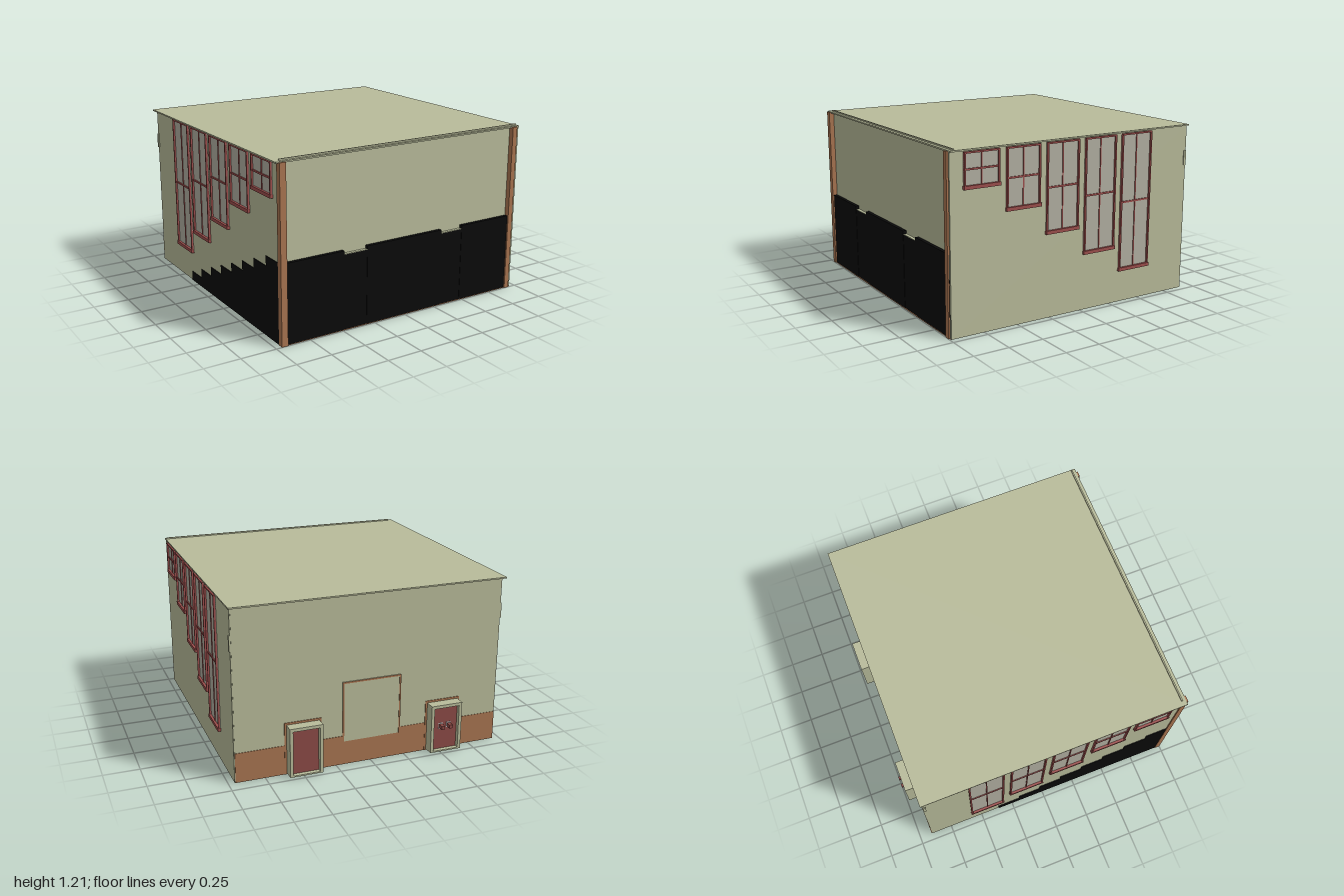
import * as THREE from 'three';

const mat = (color) => new THREE.MeshStandardMaterial({ color });
const OLIVE = mat(0xb8bb9a), BLACK = mat(0x0a0a0a), WOOD = mat(0xa87450), DESK = mat(0xb08a58);
const RED = mat(0x9c4e4c), DOOR = mat(0x8c4a46), GLASS = mat(0xb2b0a2), METAL = mat(0xcccccc);

// Axis-aligned box given by its limits
function box(parent, name, material, x0, x1, y0, y1, z0, z1) {
  const mesh = new THREE.Mesh(new THREE.BoxGeometry(x1 - x0, y1 - y0, z1 - z0), material);
  mesh.position.set((x0 + x1) / 2, (y0 + y1) / 2, (z0 + z1) / 2);
  mesh.name = name;
  parent.add(mesh);
  return mesh;
}

function group(parent, name) {
  const g = new THREE.Group();
  g.name = name;
  parent.add(g);
  return g;
}

// Paned window on a side wall; xi = wall face, s = outward direction
function sideWindow(parent, s, xi, z0, z1, y0) {
  const g = group(parent, s > 0 ? 'leftWindow' : 'rightWindow');
  const y1 = 1.185, f = 0.011, zm = (z0 + z1) / 2, ym = (y0 + y1) / 2 + 0.005;
  const part = (name, m, d, ya, yb, za, zb) =>
    box(g, name, m, Math.min(xi, xi + s * d), Math.max(xi, xi + s * d), ya, yb, za, zb);
  part('windowGlass', GLASS, 0.003, y0, y1, z0, z1);
  part('windowJamb', RED, 0.016, y0, y1, z0, z0 + f);
  part('windowJamb', RED, 0.016, y0, y1, z1 - f, z1);
  part('windowHead', RED, 0.016, y1 - f, y1, z0, z1);
  part('windowSill', RED, 0.02, y0 - 0.004, y0 + 0.02, z0 - 0.004, z1 + 0.004);
  part('windowMullion', RED, 0.008, y0, y1, zm - 0.004, zm + 0.004);
  part('windowTransom', RED, 0.01, ym - 0.006, ym + 0.006, z0, z1);
}

// Door set in a deep open case behind the back wall
function backDoor(parent, x0, x1, withHandle) {
  const g = group(parent, 'backDoor');
  const za = -0.985, zb = -0.9, t = 0.022, y0 = 0.008, y1 = 0.357;
  box(g, 'doorCaseSide', OLIVE, x0, x0 + t, y0, y1, za, zb);
  box(g, 'doorCaseSide', OLIVE, x1 - t, x1, y0, y1, za, zb);
  box(g, 'doorCaseTop', OLIVE, x0 + t, x1 - t, y1 - t, y1, za, zb);
  box(g, 'doorCaseBottom', OLIVE, x0 + t, x1 - t, y0, y0 + 0.01, za, zb);
  box(g, 'doorPanel', DOOR, x0 + t, x1 - t, y0 + 0.01, y1 - t, -0.955, -0.945);
  box(g, 'doorTrim', WOOD, x0 - 0.014, x1 + 0.014, 0, y1 + 0.014, -0.912, -0.9);
  if (withHandle) {
    const xm = (x0 + x1) / 2;
    for (const x of [xm - 0.03, xm + 0.03]) {
      box(g, 'doorHandle', DOOR, x - 0.012, x + 0.012, 0.18, 0.205, -1.0, -0.955);
      box(g, 'doorHandlePlate', METAL, x - 0.016, x + 0.016, 0.172, 0.213, -0.958, -0.954);
    }
  }
}

// Long desk with a front panel and legs
function desk(parent, x0, x1, y, z) {
  const g = group(parent, 'bench');
  box(g, 'benchTop', DESK, x0, x1, y + 0.085, y + 0.095, z - 0.03, z + 0.04);
  box(g, 'benchPanel', WOOD, x0, x1, y + 0.03, y + 0.085, z - 0.03, z - 0.022);
  box(g, 'benchSeat', DESK, x0, x1, y + 0.045, y + 0.053, z + 0.06, z + 0.09);
  const n = 3;
  for (let i = 0; i <= n; i++) {
    const x = x0 + 0.006 + (x1 - x0 - 0.012) * i / n;
    box(g, 'benchLeg', WOOD, x - 0.006, x + 0.006, y, y + 0.085, z - 0.022, z + 0.03);
    box(g, 'seatLeg', WOOD, x - 0.006, x + 0.006, y, y + 0.045, z + 0.062, z + 0.088);
  }
}

export function createModel() {
  const root = new THREE.Group();
  root.name = 'lectureHall';

  // Shell
  const shell = group(root, 'shell');
  box(shell, 'leftWall', OLIVE, 0.945, 0.957, 0, 1.19, -0.905, 0.99);
  box(shell, 'rightWall', OLIVE, -0.952, -0.94, 0, 1.19, -0.905, 0.97);
  box(shell, 'backWall', OLIVE, -0.95, 0.95, 0, 1.19, -0.907, -0.897);
  box(shell, 'frontWall', OLIVE, -0.95, 0.95, 0.5, 1.19, 0.955, 0.965);
  box(shell, 'roof', OLIVE, -0.98, 0.965, 1.19, 1.2, -0.917, 0.988);
  box(shell, 'roofLip', OLIVE, -0.945, 0.957, 1.2, 1.21, 0.955, 0.965);

  // Front corner posts
  box(shell, 'cornerPost', WOOD, -0.96, -0.915, 0, 1.195, 0.96, 1.0);
  box(shell, 'cornerPost', WOOD, 0.9, 0.938, 0, 1.195, 0.96, 1.0);

  // Wainscot on the back wall, outside and inside, and skirting
  box(shell, 'backWainscot', WOOD, -0.951, 0.951, 0, 0.21, -0.91, -0.892);
  for (const s of [-1, 1])
    box(shell, 'sideWainscot', WOOD, s * 0.935 - 0.005, s * 0.935 + 0.005, 0, 0.21, -0.895, -0.36);
  box(shell, 'frontSkirting', WOOD, -0.95, 0.95, 0, 0.004, 0.96, 0.993);

  // Terraced seating: three blocks with two sunken aisles
  const seating = group(root, 'terraces');
  const steps = 8, zStart = -0.36, depth = (0.965 - zStart) / steps;
  const blocks = [[-0.957, -0.49], [-0.31, 0.3], [0.48, 0.944]];
  const aisles = [[-0.49, -0.31], [0.3, 0.48]];
  for (let i = 0; i < steps; i++) {
    const z0 = zStart + i * depth, last = i === steps - 1;
    const y = 0.55 * (i + 1) / steps;
    for (const [a, b] of blocks) {
      box(seating, 'terraceStep', BLACK, a, b, 0, y, z0, last ? 0.99 : z0 + depth);
      if (!last) desk(seating, Math.max(a, -0.93) + 0.01, Math.min(b, 0.93) - 0.01, y, z0 + 0.04);
    }
    for (const [a, b] of aisles) {
      box(seating, 'aisleStep', BLACK, a, b, 0, y - 0.027, z0, last ? 0.987 : z0 + depth);
      if (last) box(seating, 'aisleLanding', OLIVE, a, b, y - 0.027, y - 0.023, z0, 0.987);
    }
  }

  // First row and lecturer's table on the flat floor
  for (const [a, b] of blocks)
    desk(root, Math.max(a, -0.92), Math.min(b, 0.92), 0, -0.46);
  const table = group(root, 'lecturerTable');
  box(table, 'tableTop', DESK, -0.25, 0.25, 0.11, 0.122, -0.72, -0.58);
  box(table, 'tablePanel', WOOD, -0.24, 0.24, 0.03, 0.11, -0.6, -0.59);
  for (const x of [-0.235, 0.235])
    for (const z of [-0.71, -0.595])
      box(table, 'tableLeg', WOOD, x - 0.008, x + 0.008, 0, 0.11, z - 0.008, z + 0.008);

  // Low corner platforms, hollow below
  for (const [a, b, z1] of [[0.36, 0.93, -0.5], [-0.93, -0.68, -0.7]]) {
    box(root, 'platformTop', OLIVE, a, b, 0.045, 0.052, -0.895, z1);
    box(root, 'platformRiser', OLIVE, a, b, 0, 0.045, z1 - 0.007, z1);
  }

  // Side windows, taller toward the back
  const sills = [0.955, 0.78, 0.583, 0.398, 0.228];
  sills.forEach((y, i) => {
    const z1 = 0.894 - i * 0.3045;
    sideWindow(root, 1, 0.957, z1 - 0.255, z1, y);
    sideWindow(root, -1, -0.952, z1 - 0.255, z1, y);
  });

  // Back doors and framed board
  backDoor(root, 0.37, 0.6, false);
  backDoor(root, -0.65, -0.42, true);
  const board = group(root, 'board');
  const bx0 = -0.215, bx1 = 0.206, by0 = 0.17, by1 = 0.6, t = 0.011;
  box(board, 'boardPanel', OLIVE, bx0, bx1, by0, by1, -0.912, -0.888);
  for (const [a, b, c, d] of [[bx0, bx1, by1 - t, by1], [bx0, bx0 + t, by0, by1], [bx1 - t, bx1, by0, by1]])
    box(board, 'boardFrame', WOOD, a, b, c, d, -0.915, -0.885);

  // Wall boxes high in the back corners
  box(root, 'wallBox', OLIVE, 0.93, 0.963, 0.91, 1.015, -0.905, -0.885);
  box(root, 'wallBox', OLIVE, -0.96, -0.93, 0.91, 1.015, -0.905, -0.885);
  return root;
}
